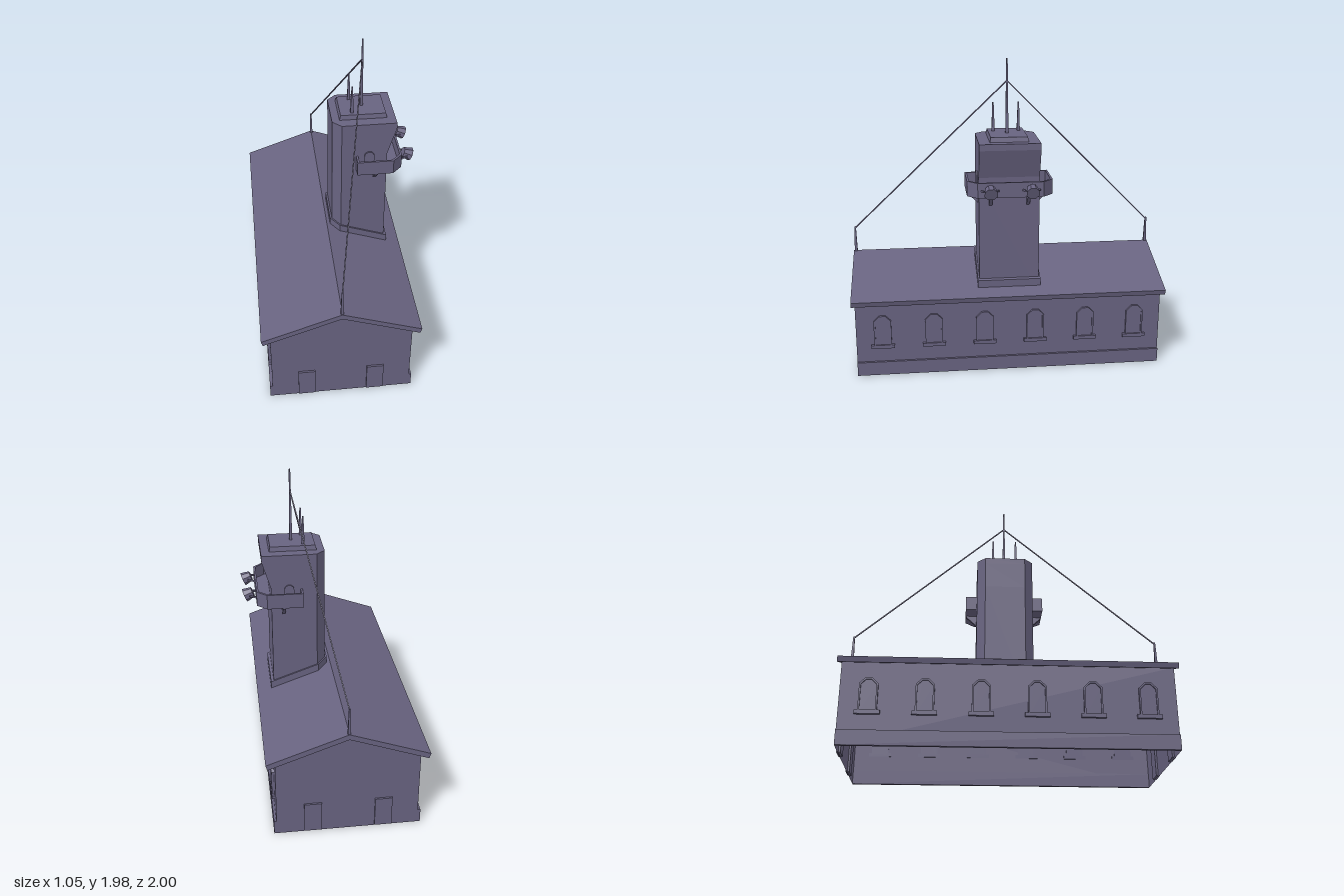
import * as THREE from 'three';

const mat = new THREE.MeshStandardMaterial({ color: 0x686380, flatShading: true });
const thin = new THREE.MeshStandardMaterial({ color: 0x686380, flatShading: true, side: THREE.DoubleSide });
const RIDGE = -0.035;

export function createModel() {
  const root = new THREE.Group();

  function add(name, geo, material = mat, parent = root) {
    const m = new THREE.Mesh(geo, material);
    m.name = name;
    parent.add(m);
    return m;
  }
  function box(name, x0, x1, y0, y1, z0, z1, parent = root) {
    const m = add(name, new THREE.BoxGeometry(x1 - x0, y1 - y0, z1 - z0), mat, parent);
    m.position.set((x0 + x1) / 2, (y0 + y1) / 2, (z0 + z1) / 2);
    return m;
  }
  const shapeOf = pts => new THREE.Shape(pts.map(p => new THREE.Vector2(p[0], p[1])));
  const extrude = (shape, depth) =>
    new THREE.ExtrudeGeometry(shape, { depth, bevelEnabled: false, curveSegments: 6 });
  // Plan outline (x, z) extruded upwards from y0 to y1
  function prism(shape, y0, y1) {
    return extrude(shape, y1 - y0).rotateX(-Math.PI / 2).translate(0, y0, 0);
  }
  // Square-section tapered rod between two points
  function rod(name, a, b, r0, r1, sides = 4) {
    const A = new THREE.Vector3(...a), B = new THREE.Vector3(...b), d = B.clone().sub(A);
    const m = add(name, new THREE.CylinderGeometry(r1, r0, d.length(), sides).rotateY(Math.PI / 4));
    m.position.copy(A).add(B).multiplyScalar(0.5);
    m.quaternion.setFromUnitVectors(new THREE.Vector3(0, 1, 0), d.normalize());
  }

  // Hall walls: a shell open below, with a gable at each end
  const gable = shapeOf([[-0.47, 0], [0.4, 0], [0.4, 0.51], [RIDGE, 0.665], [-0.47, 0.51]]);
  add('frontGable', new THREE.ShapeGeometry(gable).translate(0, 0, 0.98), thin);
  add('backGable', new THREE.ShapeGeometry(gable).rotateY(Math.PI).scale(-1, 1, 1)
    .translate(0, 0, -0.98), thin);
  const side = new THREE.PlaneGeometry(1.96, 0.51).rotateY(Math.PI / 2).translate(0, 0.255, 0);
  add('leftWall', side.clone().translate(0.4, 0, 0), thin);
  add('rightWall', side.clone().rotateY(Math.PI).translate(-0.47, 0, 0), thin);
  box('leftPlinth', 0.397, 0.415, 0, 0.09, -0.98, 0.98);
  box('rightPlinth', -0.487, -0.467, 0, 0.09, -0.98, 0.98);

  // Roof slab
  add('roof', extrude(shapeOf([[-0.525, 0.52], [-0.515, 0.487], [RIDGE, 0.66], [0.445, 0.487],
    [0.455, 0.52], [RIDGE, 0.695]]), 2).translate(0, 0, -1));

  // Windows with clipped heads: frame, pane and sill
  const head = (w, y0, y1, c) => [[-w, y0], [w, y0], [w, y1 - c], [w - c, y1], [c - w, y1], [-w, y1 - c]];
  const frame = shapeOf(head(0.055, 0.19, 0.405, 0.035));
  frame.holes.push(new THREE.Path(shapeOf(head(0.045, 0.2, 0.395, 0.03)).getPoints()));
  const frameGeo = extrude(frame, 0.02).translate(0, 0, -0.004);
  const paneGeo = extrude(shapeOf(head(0.047, 0.195, 0.397, 0.031)), 0.012).translate(0, 0, -0.004);
  for (const s of [1, -1]) for (let i = 0; i < 6; i++) {
    const w = new THREE.Group();
    w.name = 'window';
    add('windowFrame', frameGeo, mat, w);
    add('windowPane', paneGeo, mat, w);
    box('windowSill', -0.073, 0.073, 0.185, 0.208, -0.004, 0.018, w);
    w.position.set(s > 0 ? 0.4 : -0.47, 0, -0.8125 + i * 0.325);
    w.rotation.y = s * Math.PI / 2;
    root.add(w);
  }

  // Doors in both gables
  for (const s of [1, -1]) for (const x of [-0.253, 0.178])
    box('door', x - 0.053, x + 0.053, 0.01, 0.206, s * 0.98 - 0.012, s * 0.98 + 0.012);

  // Tower shaft, chamfered on its right-hand corners
  const plan = (x0, x1, z, c) => shapeOf([[x0 + c, -z], [x1, -z], [x1, z], [x0 + c, z], [x0, z - c], [x0, c - z]]);
  add('towerShaft', prism(plan(0, 0.345, 0.19, 0.055), 0.5, 1.27));
  // Tower head: its outer face leans out, then rises straight
  const headGeo = prism(plan(0, 0.345, 0.19, 0.055), 1.27, 1.45);
  const hp = headGeo.attributes.position;
  for (let i = 0; i < hp.count; i++)
    if (hp.getX(i) > 0.3 && hp.getY(i) > 1.4) hp.setX(i, 0.4);
  headGeo.computeVertexNormals();
  add('towerHead', headGeo);
  add('towerHeadTop', prism(plan(0, 0.4, 0.19, 0.055), 1.45, 1.49));
  // Roof collar whose top follows the roof slope
  const collarGeo = prism(plan(-0.013, 0.363, 0.2, 0.06), 0, 1);
  const cp = collarGeo.attributes.position;
  for (let i = 0; i < cp.count; i++) {
    const roofY = 0.695 - 0.357 * Math.abs(cp.getX(i) - RIDGE);
    cp.setY(i, cp.getY(i) > 0.5 ? roofY + 0.047 : roofY - 0.015);
  }
  collarGeo.computeVertexNormals();
  add('towerCollar', collarGeo);
  // Cap plate with sloped rim
  const cap = new THREE.CylinderGeometry(Math.SQRT1_2 * 0.95, Math.SQRT1_2, 0.03, 4)
    .rotateY(Math.PI / 4).scale(0.3, 1, 0.24).translate(0.198, 1.505, 0);
  add('towerCap', cap);

  // Balcony wrapping three sides: floor and parapet
  const deck = (x0, x1, z, c) => [[x0, -z], [x1 - c, -z], [x1, c - z], [x1, z - c], [x1 - c, z], [x0, z]];
  add('balconyFloor', prism(shapeOf(deck(0.147, 0.43, 0.26, 0.06)), 1.165, 1.18));
  const rail = shapeOf(deck(0.147, 0.437, 0.265, 0.062));
  rail.holes.push(new THREE.Path(shapeOf(deck(0.16, 0.424, 0.252, 0.057)).getPoints()));
  add('balconyParapet', prism(rail, 1.165, 1.26));

  // Triangular brackets and arched doors of the balcony
  const bracketGeo = extrude(shapeOf([[0, 1.09], [0.07, 1.155], [0.07, 1.168], [0, 1.168]]), 0.02)
    .translate(0, 0, -0.01);
  for (const s of [1, -1]) {
    const b = add('outerBracket', bracketGeo);
    b.position.set(0.343, 0, s * 0.117);
    const c = add('sideBracket', bracketGeo);
    c.position.set(0.268, 0, s * 0.188);
    c.rotation.y = -s * Math.PI / 2;
    const arch = shapeOf([[0.2, 1.18], [0.262, 1.18], [0.262, 1.265]]);
    arch.absarc(0.231, 1.26, 0.031, 0, Math.PI, false);
    add('balconyDoor', extrude(arch, 0.02).translate(0, 0, s * 0.19 - 0.01));
  }

  // Floodlights on yokes, tipped downwards
  for (const s of [1, -1]) {
    const lamp = new THREE.Group();
    lamp.name = 'floodlight';
    add('lampBody', new THREE.CylinderGeometry(0.043, 0.032, 0.055, 8).rotateY(Math.PI / 8)
      .rotateZ(-Math.PI / 2), mat, lamp);
    lamp.position.set(0.483, 1.217, s * 0.127);
    lamp.rotation.z = -0.4;
    root.add(lamp);
    for (const t of [1, -1])
      rod('lampYoke', [0.43, 1.21, s * 0.127 + t * 0.052], [0.483, 1.217, s * 0.127 + t * 0.04], 0.008, 0.006);
  }

  // Masts and stay cables
  rod('mainMast', [0.2, 1.51, 0], [0.2, 1.98, 0], 0.013, 0.006);
  for (const s of [1, -1]) {
    rod('smallMast', [0.13, 1.51, s * 0.08], [0.13, 1.7, s * 0.08], 0.014, 0.006);
    rod('roofMast', [RIDGE, 0.67, s * 0.985], [RIDGE, 0.86, s * 0.985], 0.014, 0.007);
    rod('stayCable', [RIDGE, 0.85, s * 0.985], [0.2, 1.845, 0], 0.005, 0.005);
  }

  // Centre on the ground
  const bounds = new THREE.Box3().setFromObject(root), mid = bounds.getCenter(new THREE.Vector3());
  for (const c of root.children) c.position.add(new THREE.Vector3(-mid.x, -bounds.min.y, -mid.z));
  return root;
}
